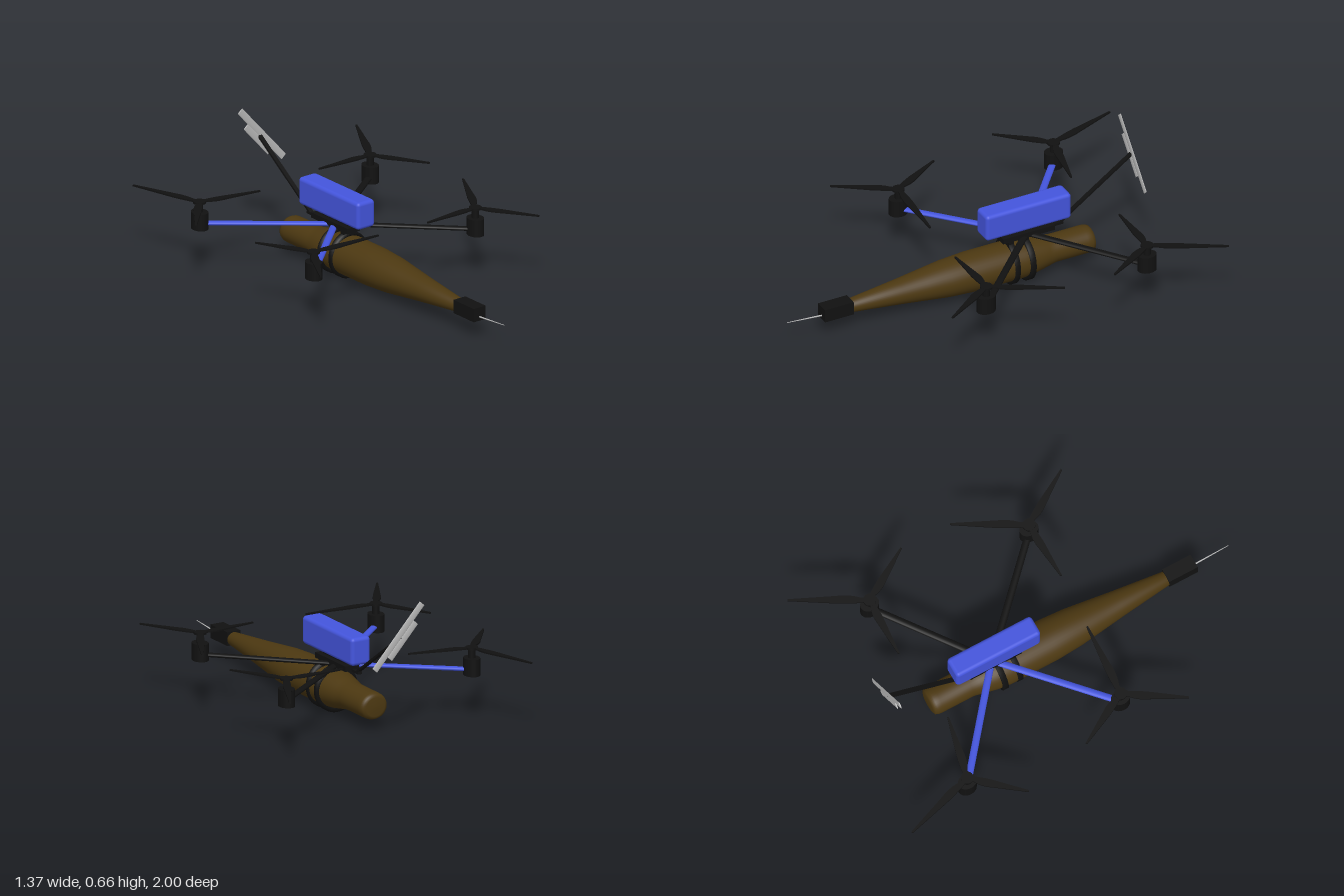
import * as THREE from 'three';
import { RoundedBoxGeometry } from 'three/addons/geometries/RoundedBoxGeometry.js';

const paint = (name, color) => {
  const m = new THREE.MeshStandardMaterial({ color });
  m.name = name;
  return m;
};

export function createModel() {
  const black = paint('black', 0x111111);
  const blue = paint('blue', 0x4455dd);
  const brown = paint('brown', 0x4c3811);
  const grey = paint('grey', 0xb8b8b8);

  const model = new THREE.Group();
  model.name = 'drone';

  const add = (name, geo, mat, x = 0, y = 0, z = 0, parent = model) => {
    const mesh = new THREE.Mesh(geo, mat);
    mesh.name = name;
    mesh.position.set(x, y, z);
    parent.add(mesh);
    return mesh;
  };
  const box = (name, mat, w, h, d, x, y, z) =>
    add(name, new THREE.BoxGeometry(w, h, d), mat, x, y, z);

  // Beam with its length running from a to b
  const beam = (name, geo, mat, a, b) => {
    const mesh = add(name, geo, mat);
    mesh.position.copy(a).lerp(b, 0.5);
    mesh.lookAt(b);
    return mesh;
  };

  // Surface of revolution around the z axis, slightly wide
  const lathe = (points, wide = 1.1) =>
    new THREE.LatheGeometry(points.map(p => new THREE.Vector2(...p)), 40)
      .rotateX(Math.PI / 2).scale(wide, 1, 1);

  // Bottle-shaped body
  add('body', lathe([
    [0, -0.587], [0.045, -0.586], [0.058, -0.58], [0.064, -0.565], [0.065, -0.54],
    [0.065, -0.38], [0.073, -0.34], [0.088, -0.26], [0.0935, -0.2], [0.0935, 0.05],
    [0.086, 0.18], [0.072, 0.3], [0.058, 0.42], [0.032, 0.67], [0, 0.672],
  ]), brown, 0, 0.113, 0);

  // Nose block and needle
  box('noseBlock', black, 0.07, 0.066, 0.15, 0, 0.116, 0.745);
  const needleA = new THREE.Vector3(0, 0.102, 0.82);
  const needleB = new THREE.Vector3(0, 0.116, 1);
  beam('needle', new THREE.CylinderGeometry(0.0015, 0.004, needleA.distanceTo(needleB), 8)
    .rotateX(Math.PI / 2), grey, needleA, needleB);

  // Straps around the body, clamped to the centre plate
  for (const [z, wide] of [[-0.153, 0.94], [-0.233, 0.98]]) {
    add('strap', lathe([
      [0.094, -0.013], [0.113, -0.013], [0.113, 0.013], [0.094, 0.013], [0.094, -0.013],
    ], wide), black, 0, 0.113, z);
    box('strapClamp', black, 0.07, 0.04, 0.026, 0, 0.22, z);
  }

  // Centre plate, post and battery
  box('centrePlate', black, 0.074, 0.026, 0.27, 0, 0.247, -0.245);
  box('batteryPost', black, 0.026, 0.03, 0.2, 0, 0.27, -0.24);
  add('battery', new RoundedBoxGeometry(0.104, 0.135, 0.445, 3, 0.018), blue, 0, 0.348, -0.238);

  // Flat pointed propeller blade, length along +x
  const bladeGeometry = length => {
    const s = new THREE.Shape();
    s.moveTo(0, -0.01);
    s.lineTo(length * 0.12, -0.012);
    s.quadraticCurveTo(length * 0.25, -0.027, length * 0.42, -0.019);
    s.lineTo(length, -0.004);
    s.lineTo(length, 0.004);
    s.lineTo(length * 0.4, 0.016);
    s.quadraticCurveTo(length * 0.22, 0.018, 0, 0.01);
    return new THREE.ExtrudeGeometry(s, { depth: 0.007, bevelEnabled: false, curveSegments: 6 })
      .rotateX(-Math.PI / 2);
  };

  // Rotors: hub x, hub z, arm colour, blade tips (x, z)
  const rotors = [
    [-0.483, -0.647, blue, [[-0.593, -1], [-0.18, -0.58], [-0.678, -0.43]]],
    [0.5, -0.616, black, [[0.683, -0.947], [0.206, -0.626], [0.652, -0.365]]],
    [-0.465, 0.173, blue, [[-0.603, -0.085], [-0.102, 0.198], [-0.635, 0.44]]],
    [0.465, 0.206, black, [[0.645, -0.11], [0.175, 0.215], [0.63, 0.47]]],
  ];
  const centre = new THREE.Vector3(0, 0.235, -0.25);
  for (const [x, z, armColour, tips] of rotors) {
    const end = new THREE.Vector3(x, 0.235, z);
    beam('arm', new THREE.CylinderGeometry(0.01, 0.01, centre.distanceTo(end), 16)
      .rotateX(Math.PI / 2).scale(1.7, 1, 1), armColour, centre, end);

    const rotor = new THREE.Group();
    rotor.name = 'rotor';
    rotor.position.set(x, 0, z);
    model.add(rotor);
    add('motor', new THREE.CylinderGeometry(0.037, 0.037, 0.083, 20).scale(1, 1, 1.25),
      black, 0, 0.25, 0, rotor);
    add('shaft', new THREE.CylinderGeometry(0.017, 0.017, 0.05, 16), black, 0, 0.314, 0, rotor);
    add('hub', new THREE.CylinderGeometry(0.03, 0.03, 0.01, 20), black, 0, 0.339, 0, rotor);
    for (const [tx, tz] of tips) {
      const blade = add('blade', bladeGeometry(Math.hypot(tx - x, tz - z)), black, 0, 0.336, 0, rotor);
      blade.rotation.y = -Math.atan2(tz - z, tx - x);
    }
  }

  // Sloping tail boom
  const boomA = new THREE.Vector3(-0.005, 0.24, -0.42);
  const boomB = new THREE.Vector3(-0.005, 0.503, -0.8);
  beam('tailBoom', new THREE.BoxGeometry(0.021, 0.01, boomA.distanceTo(boomB)), black, boomA, boomB);
  box('boomRoot', black, 0.021, 0.012, 0.12, -0.005, 0.238, -0.38);

  // Tilted tail vanes: a long one with a short one beside it
  const vanes = [['longVane', 0.383, 0.007, 0.509], ['shortVane', 0.21, -0.016, 0.488]];
  for (const [name, length, x, y] of vanes) {
    const geo = new THREE.CylinderGeometry(0.017, 0.017, length, 16)
      .rotateZ(Math.PI / 2).scale(1, 1, 0.2);
    add(name, geo, grey, x, y, -0.8).rotation.z = -0.84;
  }

  return model;
}
